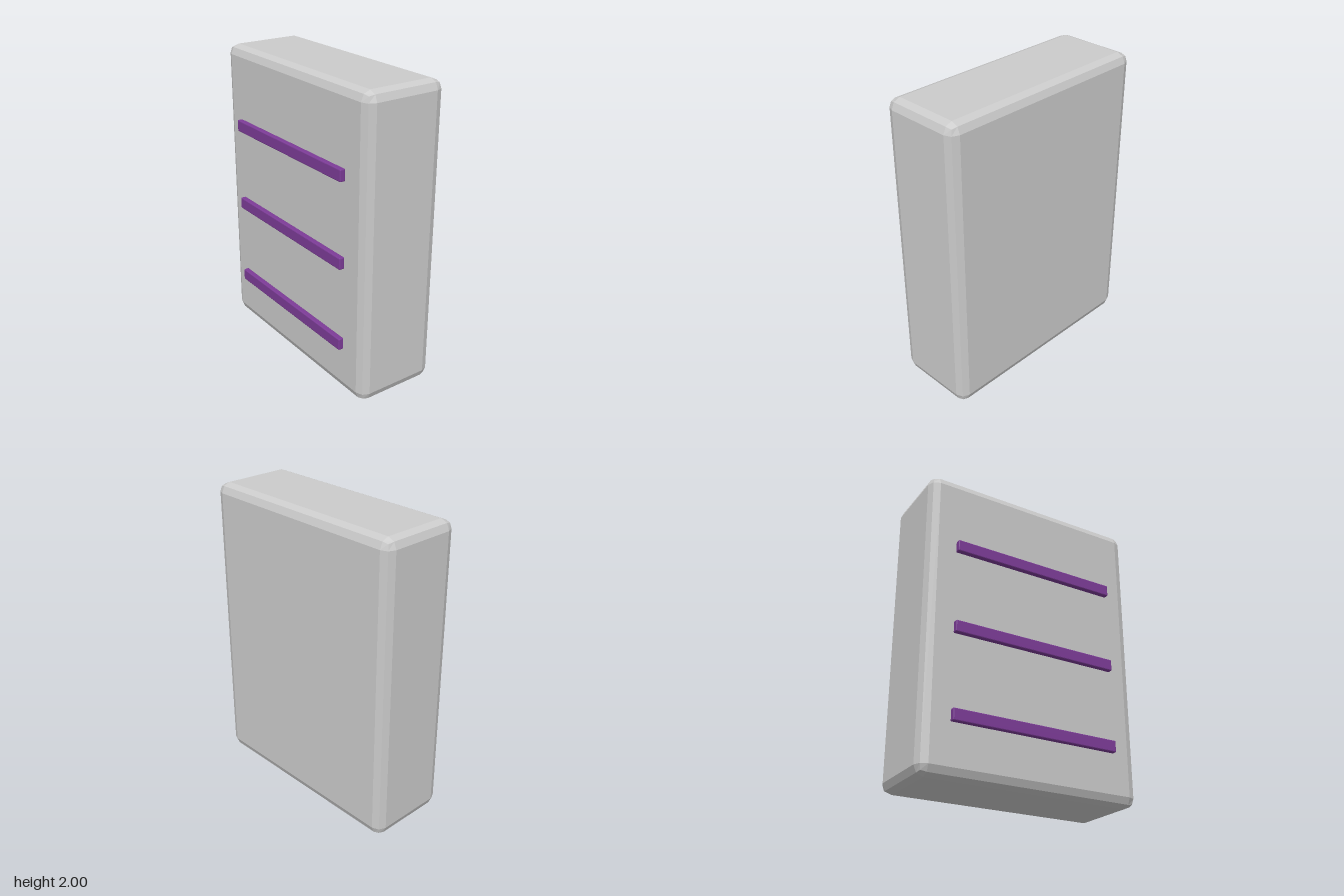
import * as THREE from 'three';
import { RoundedBoxGeometry } from 'three/addons/geometries/RoundedBoxGeometry.js';

export function createModel() {
  const group = new THREE.Group();
  const grey = new THREE.MeshStandardMaterial({ color: 0xcccccc, flatShading: true });
  const purple = new THREE.MeshStandardMaterial({ color: 0x7d3c98, flatShading: true });

  // Box with a two-step bevel on every edge
  function bevelledBox(name, size, radius, material, position) {
    const mesh = new THREE.Mesh(new RoundedBoxGeometry(...size, 1, radius), material);
    mesh.name = name;
    mesh.position.set(...position);
    group.add(mesh);
  }

  // Main slab
  bevelledBox('body', [1.515, 2, 0.56], 0.062, grey, [0, 1, -0.022]);

  // Three bars floating just off the front face
  for (let i = 0; i < 3; i++) {
    bevelledBox('frontBar' + (i + 1), [1.15, 0.077, 0.037], 0.006, purple,
      [0, 0.363 + i * 0.561, 0.284]);
  }
  return group;
}
